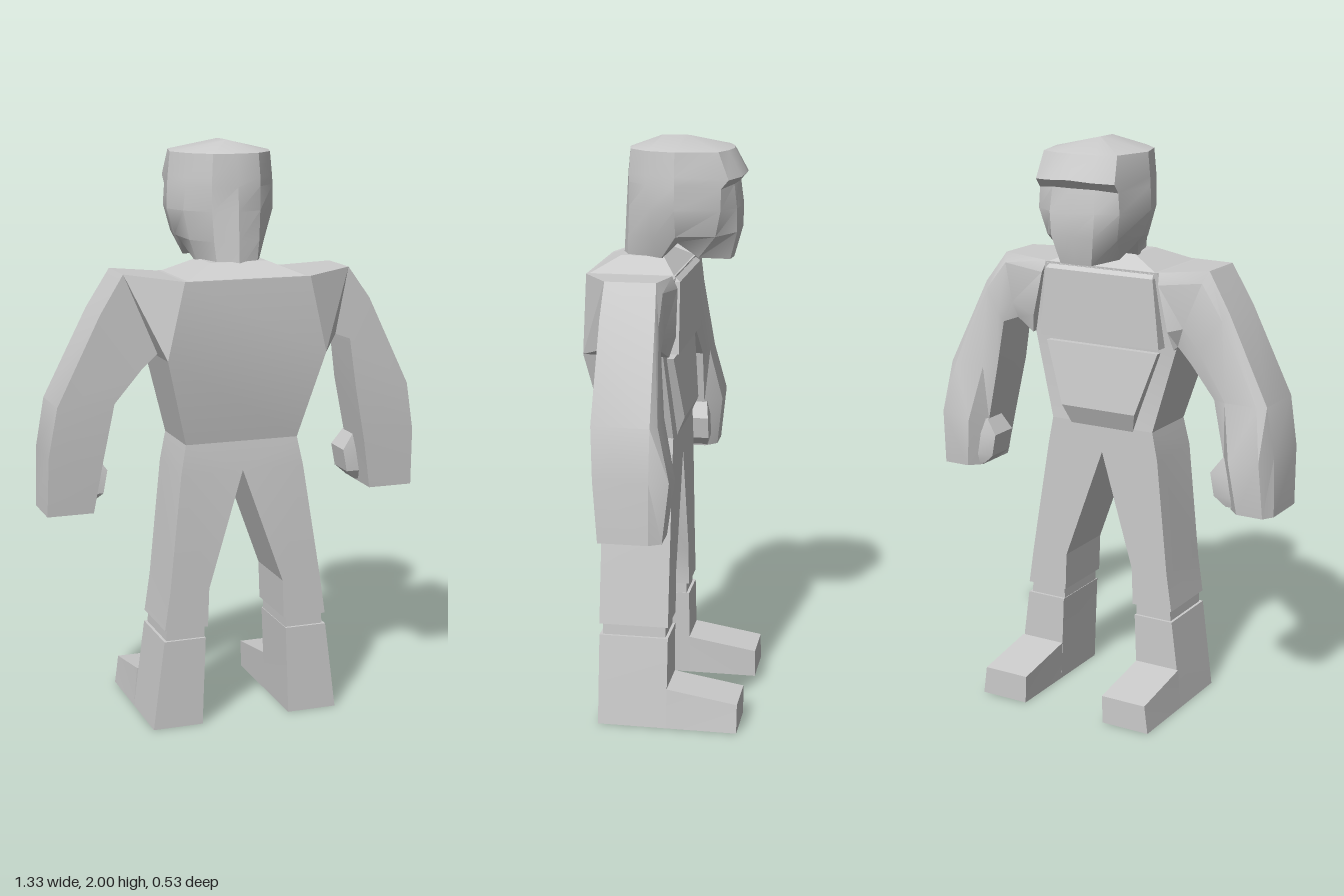
import * as THREE from 'three';
import { toCreasedNormals } from 'three/addons/utils/BufferGeometryUtils.js';

const material = new THREE.MeshStandardMaterial({ color: 0xcccccc });

// Skin a list of equal-length rings, close both ends, and turn the faces outward.
function loft(name, rings, crease = 0.3) {
  const tris = [];
  const n = rings[0].length;
  const quad = (a, b, c, d) => tris.push([a, b, c], [a, c, d]);
  for (let r = 0; r + 1 < rings.length; r++) {
    for (let i = 0; i < n; i++) {
      const j = (i + 1) % n;
      quad(rings[r][i], rings[r][j], rings[r + 1][j], rings[r + 1][i]);
    }
  }
  const cap = (ring, flip) => {
    for (let i = 0, j = n; i + 1 < j; i++, j--) {
      const q = [ring[i], ring[i + 1], ring[j - 1], ring[j % n]];
      quad(...(flip ? q : q.reverse()));
    }
  };
  cap(rings[0], false);
  cap(rings[rings.length - 1], true);

  const v = (p) => new THREE.Vector3(...p);
  let volume = 0;
  const solid = tris.filter(([a, b, c]) =>
    v(b).sub(v(a)).cross(v(c).sub(v(a))).length() > 1e-8);
  for (const [a, b, c] of solid) volume += v(a).dot(v(b).cross(v(c)));
  if (volume < 0) solid.forEach((t) => t.reverse());

  const geometry = new THREE.BufferGeometry();
  geometry.setAttribute('position', new THREE.Float32BufferAttribute(solid.flat(2), 3));
  const mesh = new THREE.Mesh(toCreasedNormals(geometry, crease), material);
  mesh.name = name;
  return mesh;
}

// Level rectangle at height y
const rect = (y, x0, x1, z0, z1) => [[x0, y, z0], [x1, y, z0], [x1, y, z1], [x0, y, z1]];

// Arm section from inner point a to outer point b, with a bevelled front
function armRing([ax, ay, bx, by, back, side, front]) {
  const at = (t, z) => [ax + (bx - ax) * t, ay + (by - ay) * t, z];
  return [at(0, back), at(1, back), at(1, side), at(0.85, front), at(0.25, front), at(0, side)];
}

function makeHead() {
  // Columns from nape to nose, each listed from the jaw to the crown
  const ys = [1.58, 1.67, 1.77, 1.85, 1.88, 1.96];
  const column = (xs, zs, y = ys) => xs.map((x, i) => [x, y[i], zs[i]]);
  const columns = [
    column([0, 0, 0, 0, 0, 0], [0.185, 0.18, 0.175, 0.17, 0.168, 0.16]),
    column([0.07, 0.08, 0.085, 0.085, 0.085, 0.08], [0.16, 0.155, 0.15, 0.15, 0.15, 0.145]),
    column([0.10, 0.135, 0.16, 0.155, 0.153, 0.145], [0.05, 0.06, 0.07, 0.08, 0.08, 0.08]),
    column([0.14, 0.16, 0.19, 0.187, 0.185, 0.177], [-0.02, -0.02, -0.02, -0.02, -0.02, -0.02],
      [1.66, 1.68, 1.77, 1.85, 1.88, 1.96]),
    column([0.11, 0.135, 0.155, 0.15, 0.15, 0.14], [-0.09, -0.15, -0.17, -0.17, -0.195, -0.16],
      [1.605, 1.68, 1.77, 1.84, 1.87, 1.96]),
    column([0.06, 0.08, 0.085, 0.08, 0.085, 0.075], [-0.19, -0.215, -0.215, -0.205, -0.23, -0.185],
      [1.595, 1.69, 1.77, 1.85, 1.875, 1.96]),
    column([0, 0, 0, 0, 0, 0], [-0.195, -0.22, -0.222, -0.21, -0.238, -0.195],
      [1.595, 1.69, 1.77, 1.85, 1.88, 1.96]),
  ];
  const mirrored = columns.slice(1, -1).reverse().map((c) => c.map(([x, y, z]) => [-x, y, z]));
  const around = [...columns, ...mirrored];
  const rings = ys.map((_, row) => around.map((c) => c[row]));
  // Shallow ridged crown
  rings.push(rings[5].map(([, , z]) => [0, 2, THREE.MathUtils.clamp(z, -0.04, 0.05)]));
  return loft('head', rings, 0.5);
}

function makeTorso() {
  const torso = new THREE.Group();
  torso.name = 'torso';
  torso.add(
    loft('trunk', [
      rect(1.0, -0.2, 0.2, -0.02, 0.21),
      rect(1.3, -0.28, 0.28, 0, 0.27),
      rect(1.56, -0.22, 0.22, -0.03, 0.27),
    ]),
    // Slope from the shoulders up to the neck
    loft('neckBase', [
      rect(1.555, -0.22, 0.22, -0.03, 0.27),
      rect(1.605, -0.1, 0.1, 0.03, 0.175),
    ]),
    loft('chest', [
      rect(1.3, -0.235, 0.235, -0.045, 0.1),
      rect(1.54, -0.21, 0.21, -0.045, 0.1),
      rect(1.56, -0.2, 0.2, -0.02, 0.1),
    ]),
    loft('belly', [
      rect(0.98, -0.12, 0.12, -0.015, 0.1),
      rect(1.06, -0.145, 0.145, -0.05, 0.1),
      rect(1.28, -0.22, 0.22, -0.025, 0.1),
    ]),
  );
  return torso;
}

function makeArm(left) {
  const side = left ? 1 : -1;
  const arm = new THREE.Group();
  arm.name = left ? 'leftArm' : 'rightArm';
  // inner x, inner y, outer x, outer y, back z, side z, front z
  const sections = [
    [0.28, 1.3, 0.22, 1.56, 0.27, -0.02, -0.04],
    ...(left
      ? [[0.355, 1.34, 0.40, 1.57, 0.17, 0, -0.02], [0.41, 1.32, 0.48, 1.46, 0.17, -0.01, -0.02]]
      : [[0.285, 1.31, 0.40, 1.58, 0.17, 0, -0.02], [0.34, 1.26, 0.48, 1.45, 0.17, -0.01, -0.02]]),
    [0.435, 1.15, 0.63, 1.15, 0.17, -0.02, -0.04],
    [0.475, 0.95, 0.66, 0.98, 0.16, -0.02, -0.082],
    [0.505, 0.775, 0.665, 0.775, 0.145, -0.02, -0.06],
  ].map(([ax, ay, bx, by, ...z]) => [ax * side, ay, bx * side, by, ...z]);
  arm.add(loft('shoulderAndArm', sections.map(armRing), 0.5));
  // Thumb folded on the inside of the fist
  const thumb = [
    rect(0.955, 0.475, 0.52, -0.03, 0.06),
    rect(0.9, 0.435, 0.52, -0.04, 0.07),
    rect(0.82, 0.45, 0.53, -0.04, 0.07),
    rect(0.785, 0.49, 0.54, -0.03, 0.05),
  ];
  arm.add(loft('thumb', thumb.map((r) => r.map(([x, y, z]) => [x * side, y, z]))));
  return arm;
}

function makeLeg(side) {
  const leg = new THREE.Group();
  leg.name = side > 0 ? 'leftLeg' : 'rightLeg';
  const shift = 0.0135;
  const ring = (y, inner, outer, z0, z1, dx = shift) =>
    rect(y, side * inner + dx, side * outer + dx, z0, z1);
  leg.add(
    loft('trouser', [
      ring(1.0, 0, 0.2, -0.02, 0.21, 0),
      ring(0.9, 0, 0.22, -0.02, 0.22, 0),
      ring(0.49, 0.135, 0.275, -0.02, 0.22),
      ring(0.355, 0.14, 0.295, -0.02, 0.22),
    ]),
    loft('ankleGroove', [
      ring(0.36, 0.15, 0.285, -0.01, 0.21),
      ring(0.3, 0.15, 0.288, -0.01, 0.21),
    ]),
    loft('bootShaft', [
      ring(0.315, 0.148, 0.297, -0.02, 0.22),
      ring(0.14, 0.155, 0.32, -0.02, 0.22),
      ring(0, 0.16, 0.338, -0.02, 0.22),
    ]),
  );
  // Toe block, lower at the tip
  const toeEnd = (z, height) => [
    [0.16, 0], [0.338, 0], [0.325, height], [0.156, height],
  ].map(([x, y]) => [side * x + shift, y, z]);
  leg.add(loft('bootToe', [toeEnd(-0.02, 0.14), toeEnd(-0.265, 0.1)]));
  return leg;
}

export function createModel() {
  const figure = new THREE.Group();
  figure.name = 'figure';
  figure.add(makeHead(), makeTorso());
  for (const side of [1, -1]) figure.add(makeArm(side > 0), makeLeg(side));
  return figure;
}
